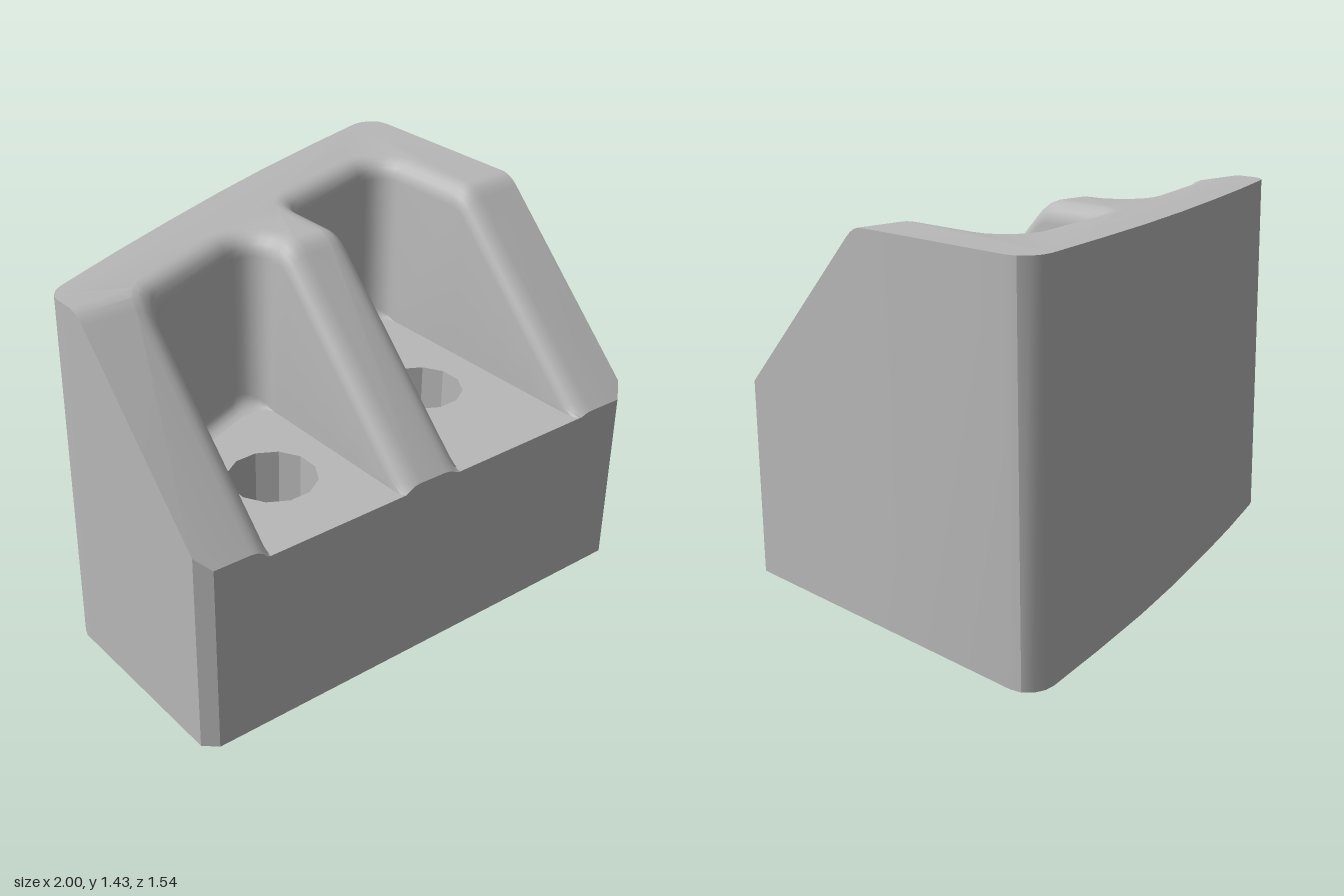
import * as THREE from 'three';
import { toCreasedNormals } from 'three/addons/utils/BufferGeometryUtils.js';

const FLOOR = 0.715, TOP = 1.43, EDGE_R = 0.08, FLOOR_R = 0.06, CORNER_R = 0.1;
const BREAKS = [0.02, 0.04, 0.06, 0.08, 0.1];
const POCKETS = [
  { l: -0.72, r: -0.15, zl: 0.065, zr: -0.147 },
  { l: 0.13, r: 0.72, zl: -0.26, zr: -0.425 },
];
const HOLES = [[-0.43, 0.36], [0.42, 0.21]];
const HOLE_R = 0.167;

// Front face line, and the height of the top: flat, rounded bend, 45 degree slope
const frontZ = (x) => 0.751 + 0.0165 * x;
const height = (z) => z < 0.02 ? TOP : z > 0.1 ? 1.49 - z : TOP - (z - 0.02) ** 2 / 0.16;

// Footprint from the front right chamfer round the back to the front left one
const backOutline = [
  [1, 0.72], ...[...BREAKS].reverse().map((z) => [1, z]),
  [1, -0.69], [0.99, -0.735], [0.96, -0.765], [0.92, -0.778], [0.88, -0.775],
  [0.58, -0.692], [0.27, -0.6], [-0.04, -0.496], [-0.35, -0.382], [-0.64, -0.27],
  [-0.93, -0.15], [-0.965, -0.13], [-0.99, -0.1], [-1, -0.07],
  ...BREAKS.map((z) => [-1, z]), [-1, 0.69],
];
const frontLeft = [-0.95, frontZ(-0.95)], frontRight = [0.95, frontZ(0.95)];

function geometryFrom(tris, crease = 0.5) {
  const geo = new THREE.BufferGeometry();
  geo.setAttribute('position', new THREE.Float32BufferAttribute(tris.flat(2), 3));
  return toCreasedNormals(geo, crease);
}

function addTri(tris, a, b, c) {
  const [p, q, r] = [a, b, c].map((v) => new THREE.Vector3(...v));
  if (q.sub(p).cross(r.sub(p)).length() > 1e-8) tris.push([a, b, c]);
}

function addQuad(tris, a, b, c, d) {
  addTri(tris, a, b, c);
  addTri(tris, a, c, d);
}

// Pocket wall line seen from above: points with the normal that leads into the wall
function pocketLine({ l, r, zl, zr }) {
  const len = Math.hypot(r - l, zr - zl);
  const nx = (zr - zl) / len, nz = (l - r) / len;
  const mid = Math.atan2(nz, nx) + 2 * Math.PI;
  const zAt = (x) => zl + (zr - zl) * (x - l) / (r - l);
  const centreZ = (x) => zAt(x) + CORNER_R / Math.abs(nz);
  const side = (x, n, cz) => [frontZ(x), 0.73, 0.7, 0.66, 0.5, 0.35, 0.2, ...[...BREAKS].reverse()]
    .filter((z) => z > cz + 0.005).map((z) => ({ x, z, nx: n, nz: 0 }));
  const arc = (cx, a0, a1) => Array.from({ length: 7 }, (_, i) => {
    const a = a0 + (a1 - a0) * i / 6, c = Math.cos(a), s = Math.sin(a);
    return { x: cx + CORNER_R * c, z: centreZ(cx) + CORNER_R * s, nx: c, nz: s };
  });
  const cl = l + CORNER_R, cr = r - CORNER_R;
  return [
    ...side(l, -1, centreZ(cl)), ...arc(cl, Math.PI, mid),
    ...arc(cr, mid, 2 * Math.PI), ...side(r, 1, centreZ(cr)).reverse(),
  ];
}

// Pocket wall as a grid: fillet at the floor, upright wall, rounded upper edge
function pocketGrid(pocket) {
  const line = pocketLine(pocket);
  return line.map((p, i) => {
    const end = i === 0 || i === line.length - 1;
    const at = (d) => {
      const x = p.x + p.nx * d;
      return [x, end ? frontZ(x) : p.z + p.nz * d];
    };
    const column = [], rb = FLOOR_R * Math.abs(p.nz);
    for (let k = 0; k <= 4; k++) {
      const t = k / 4 * Math.PI / 2;
      const [x, z] = at(-rb * (1 - Math.sin(t)));
      column.push([x, FLOOR + rb * (1 - Math.cos(t)), z]);
    }
    for (let k = 0; k <= 5; k++) {
      const t = k / 5 * Math.PI / 2;
      const [x, z] = at(EDGE_R * (1 - Math.cos(t)));
      column.push([x, Math.max(FLOOR, height(z) - EDGE_R * (1 - Math.sin(t))), z]);
    }
    return column;
  });
}

// Keep the part of an x,z polygon on one side of a z line
function clip(poly, z0, sign) {
  const out = [];
  poly.forEach((p, i) => {
    const q = poly[(i + 1) % poly.length];
    const a = (p[1] - z0) * sign, b = (q[1] - z0) * sign;
    if (a >= 0) out.push(p);
    if (a * b < 0) out.push([p[0] + (q[0] - p[0]) * a / (a - b), z0]);
  });
  return out;
}

// Fill an x,z outline, cut at the bend, and lift it to the top height
function addTop(tris, outline) {
  const pts = outline.map(([x, z]) => new THREE.Vector2(x, z));
  const limits = [-9, ...BREAKS, 9];
  for (const face of THREE.ShapeUtils.triangulateShape(pts, [])) {
    let poly = face.map((i) => outline[i]);
    const [a, b, c] = poly;
    if ((b[0] - a[0]) * (c[1] - a[1]) - (b[1] - a[1]) * (c[0] - a[0]) > 0) poly = poly.reverse();
    for (let i = 0; i + 1 < limits.length; i++) {
      const band = clip(clip(poly, limits[i], 1), limits[i + 1], -1)
        .map(([x, z]) => [x, height(z), z]);
      for (let k = 1; k + 1 < band.length; k++) addTri(tris, band[0], band[k], band[k + 1]);
    }
  }
}

// Level plate with the two bolt holes
function plate(up) {
  const shape = new THREE.Shape(
    [frontLeft, frontRight, ...backOutline].map(([x, z]) => new THREE.Vector2(x, -z)));
  for (const [hx, hz] of HOLES) {
    shape.holes.push(new THREE.Path(Array.from({ length: 12 }, (_, i) => {
      const a = (i + 0.5) * Math.PI / 6;
      return new THREE.Vector2(hx + HOLE_R * Math.cos(a), -hz + HOLE_R * Math.sin(a));
    })));
  }
  const geo = new THREE.ShapeGeometry(shape);
  if (!up) {
    const idx = geo.index.array;
    for (let i = 0; i < idx.length; i += 3) [idx[i], idx[i + 1]] = [idx[i + 1], idx[i]];
  }
  geo.rotateX(-Math.PI / 2).translate(0, up ? FLOOR : 0, 0);
  geo.computeVertexNormals();
  return geo;
}

export function createModel() {
  const model = new THREE.Group();
  const grey = new THREE.MeshStandardMaterial({ color: 0xb8b8b8 });
  grey.name = 'grey';
  const add = (name, geo, material = grey) => {
    const mesh = new THREE.Mesh(geo, material);
    mesh.name = name;
    model.add(mesh);
    return mesh;
  };

  const grids = POCKETS.map(pocketGrid);

  // Pocket walls with the sloped ribs and flat top
  const top = [];
  for (const grid of grids) {
    for (let i = 0; i + 1 < grid.length; i++) {
      for (let k = 0; k + 1 < grid[i].length; k++) {
        addQuad(top, grid[i][k], grid[i + 1][k], grid[i + 1][k + 1], grid[i][k + 1]);
      }
    }
  }
  const rims = grids.flatMap((grid) => grid.map((col) => [col.at(-1)[0], col.at(-1)[2]]));
  addTop(top, [frontLeft, ...rims, frontRight, ...backOutline]);
  add('ribbedTop', geometryFrom(top));

  // Outer wall, following the rib ends along the front
  const lift = ([x, z]) => [x, height(z), z];
  const ends = grids.flatMap((grid) => [...[...grid[0]].reverse(), ...grid.at(-1)]);
  const rim = [lift(frontLeft), ...ends, lift(frontRight), ...backOutline.map(lift)];
  const wall = [];
  rim.forEach((p, i) => {
    const q = rim[(i + 1) % rim.length];
    if (Math.hypot(p[0] - q[0], p[2] - q[2]) < 1e-6) return;
    addQuad(wall, [p[0], 0, p[2]], [q[0], 0, q[2]], q, p);
  });
  add('outerWall', geometryFrom(wall));

  // Pocket floor, underside and bolt holes
  add('pocketFloor', plate(true));
  add('underside', plate(false));
  for (const [x, z] of HOLES) {
    const geo = new THREE.CylinderGeometry(HOLE_R, HOLE_R, FLOOR, 12, 1, true).toNonIndexed();
    geo.scale(-1, 1, 1).rotateY(Math.PI / 12);
    geo.computeVertexNormals();
    add('boltHole', geo).position.set(x, FLOOR / 2, z);
  }
  return model;
}
